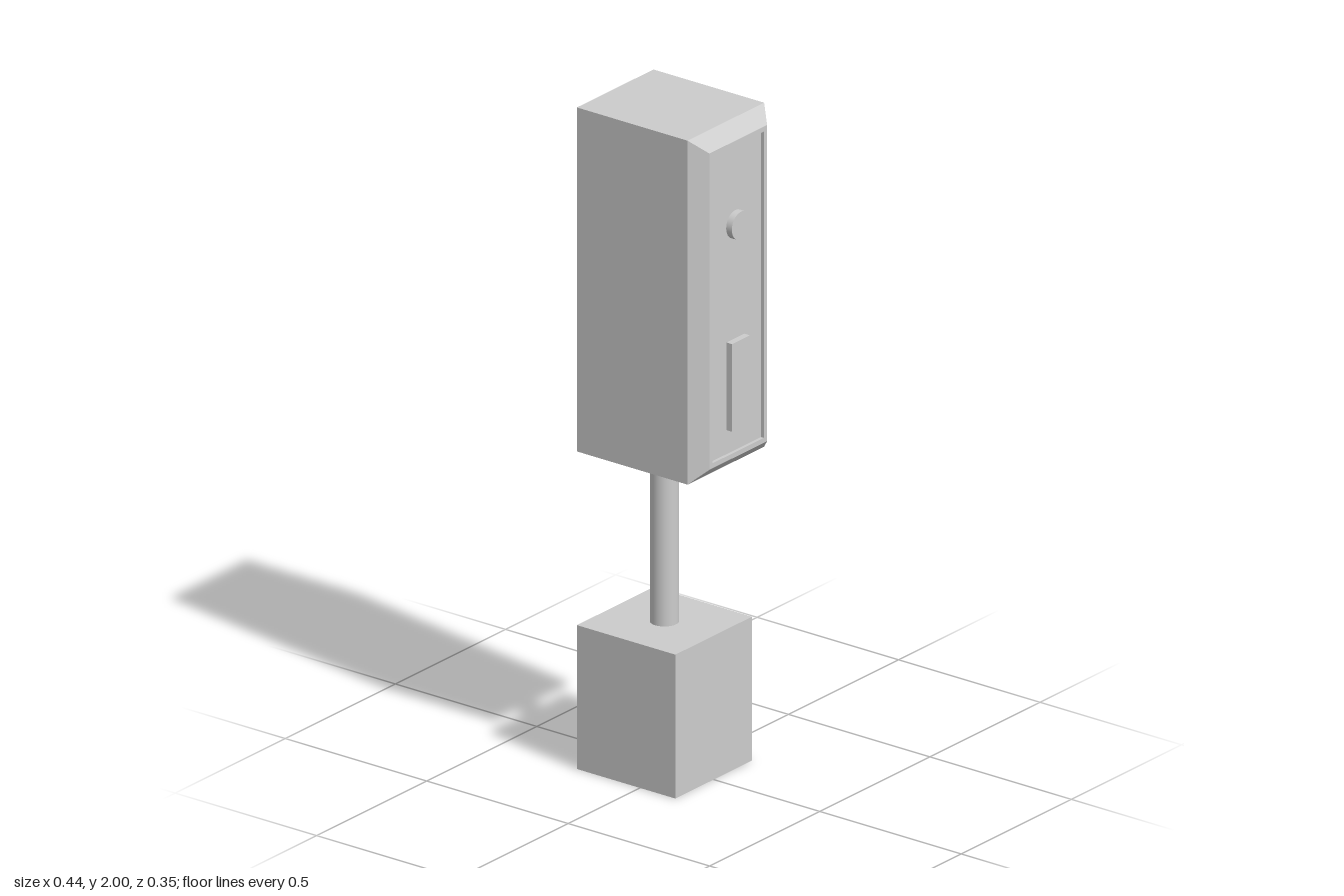
import * as THREE from 'three';

// Flat-sided solid lofted along x through centred rectangles [x, halfHeight, halfDepth]
function loftRectangles(rings) {
  const corners = rings.map(([x, h, d]) => [[x, -h, d], [x, -h, -d], [x, h, -d], [x, h, d]]);
  const pos = [];
  const quad = (a, b, c, d) => pos.push(...a, ...b, ...c, ...a, ...c, ...d);
  for (let i = 0; i < corners.length - 1; i++) {
    for (let k = 0; k < 4; k++) {
      const n = (k + 1) % 4;
      quad(corners[i][k], corners[i][n], corners[i + 1][n], corners[i + 1][k]);
    }
  }
  const first = corners[0], last = corners[corners.length - 1];
  quad(first[3], first[2], first[1], first[0]);
  quad(last[0], last[1], last[2], last[3]);
  const geo = new THREE.BufferGeometry();
  geo.setAttribute('position', new THREE.Float32BufferAttribute(pos, 3));
  geo.computeVertexNormals();
  return geo;
}

export function createModel() {
  const group = new THREE.Group();
  const grey = new THREE.MeshStandardMaterial({ color: 0xcccccc });
  grey.name = 'light grey';

  const add = (name, geo, x, y, z = 0) => {
    const mesh = new THREE.Mesh(geo, grey);
    mesh.name = name;
    mesh.position.set(x, y, z);
    group.add(mesh);
    return mesh;
  };

  // Foot block and round post
  add('base', new THREE.BoxGeometry(0.348, 0.435, 0.348), -0.049, 0.2175);
  add('post', new THREE.CylinderGeometry(0.041, 0.041, 0.535, 32), -0.049, 0.699);

  // Tall housing with bevelled rim and a shallow recessed panel facing +x
  add('housing', loftRectangles([
    [-0.223, 0.52, 0.174],
    [0.168, 0.52, 0.174],
    [0.212, 0.478, 0.131],
    [0.212, 0.463, 0.116],
    [0.202, 0.463, 0.116],
  ]), 0, 1.48);

  // Controls standing on the panel
  const button = add('roundButton', new THREE.CylinderGeometry(0.042, 0.042, 0.021, 32), 0.2115, 1.7);
  button.rotation.z = -Math.PI / 2;
  add('plate', new THREE.BoxGeometry(0.021, 0.265, 0.081), 0.2115, 1.222);

  return group;
}
